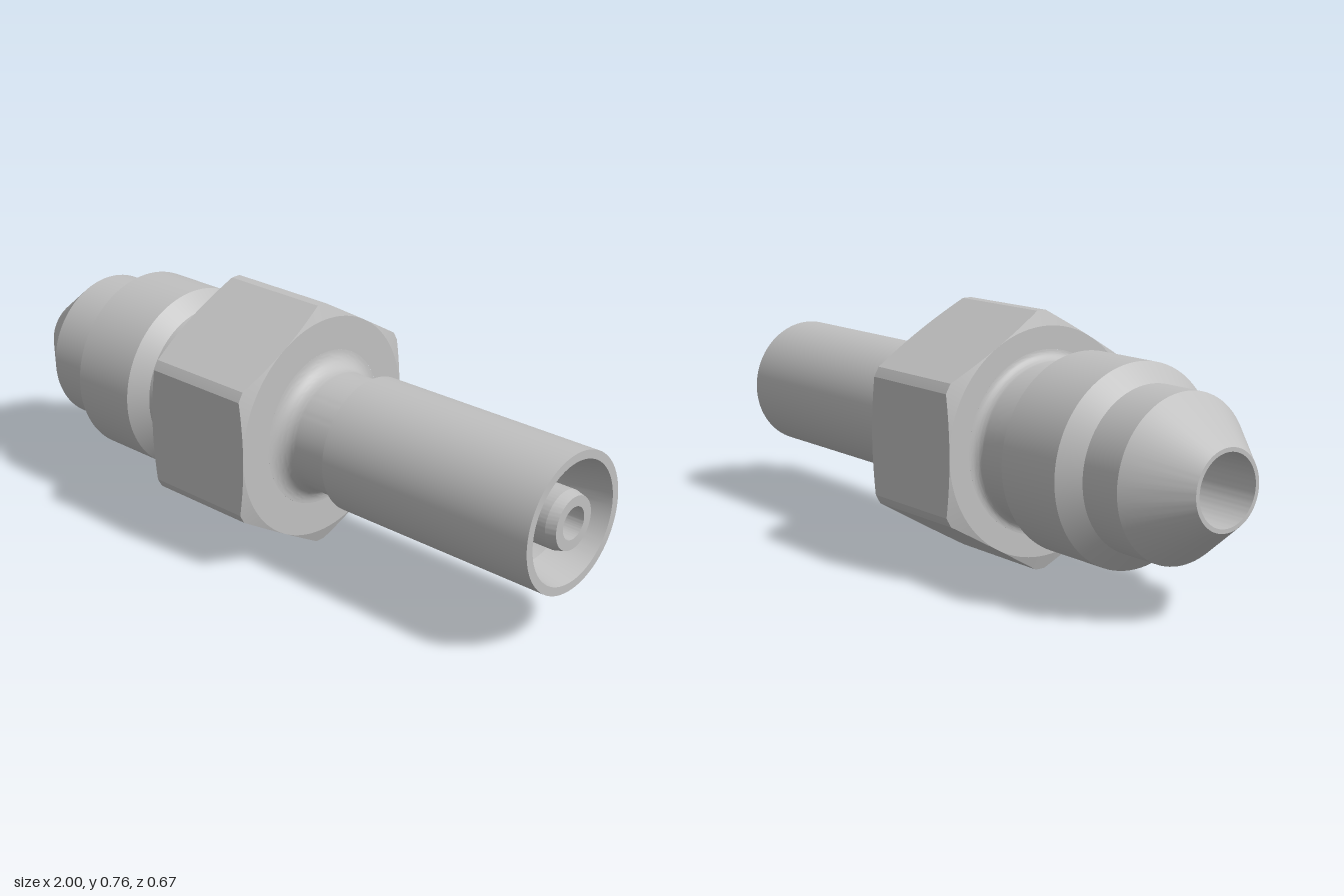
import * as THREE from 'three';
import { toCreasedNormals } from 'three/addons/utils/BufferGeometryUtils.js';

const AXIS_HEIGHT = 0.378;
const CREASE = 0.15;
const HEX = { left: -0.267, right: 0.112, apothem: 0.335, corner: 0.378, slope: 0.35 };

// Quarter-round points as [radius, axial] pairs between two angles
function fillet(cr, ca, rad, from, to, steps = 12) {
  return Array.from({ length: steps + 1 }, (_, i) => {
    const t = from + (to - from) * i / steps;
    return [cr + rad * Math.cos(t), ca + rad * Math.sin(t)];
  });
}

// Turned solid; a closed profile of [radius, axial] pairs
function turned(profile) {
  const pts = profile.map(([r, a]) => new THREE.Vector2(r, a));
  return toCreasedNormals(new THREE.LatheGeometry(pts, 96), CREASE);
}

// Hexagon with corners trimmed to a cylinder and both ends chamfered by a cone
function hexNut(innerLeft, innerRight) {
  const { left, right, apothem, corner, slope } = HEX;
  const sixth = Math.PI / 3;
  const trim = sixth / 2 - Math.acos(apothem / corner);
  const angles = [];
  for (let s = 0; s < 6; s++) {
    for (let i = 0; i < 4; i++) angles.push(s * sixth - trim + 2 * trim * i / 4);
    for (let i = 0; i < 24; i++) angles.push(s * sixth + trim + (sixth - 2 * trim) * i / 24);
  }
  const n = angles.length, pos = [], index = [];
  angles.forEach((t) => {
    const local = ((t + 2 * Math.PI) % sixth) - sixth / 2;
    const r = Math.min(corner, apothem / Math.cos(local));
    const cut = slope * (r - apothem);
    const rings = [[innerLeft, left], [apothem, left], [r, left + cut],
      [r, right - cut], [apothem, right], [innerRight, right]];
    rings.forEach(([q, a]) => pos.push(q * Math.cos(t), a, q * Math.sin(t)));
  });
  for (let j = 0; j < n; j++) {
    const k = (j + 1) % n;
    for (let i = 0; i < 5; i++) {
      const a = j * 6 + i, b = k * 6 + i;
      index.push(a, a + 1, b, b, a + 1, b + 1);
    }
  }
  const g = new THREE.BufferGeometry();
  g.setAttribute('position', new THREE.Float32BufferAttribute(pos, 3));
  g.setIndex(index);
  return toCreasedNormals(g, CREASE);
}

export function createModel() {
  const model = new THREE.Group();
  model.name = 'hexFitting';
  const steel = new THREE.MeshStandardMaterial({ color: 0xc0c0c0 });
  steel.name = 'steel';

  // Parts are turned around local y, then laid along x
  const add = (name, geometry) => {
    const mesh = new THREE.Mesh(geometry, steel);
    mesh.name = name;
    mesh.rotation.z = -Math.PI / 2;
    mesh.position.y = AXIS_HEIGHT;
    model.add(mesh);
  };

  const body = [
    // flared nose, collar and threaded section
    [0.1, -1], [0.112, -1], [0.233, -0.84], [0.233, -0.707],
    [0.286, -0.657], [0.286, -0.436], [0.238, -0.39],
    // neck blending into the hexagon
    ...fillet(0.268, HEX.left - 0.03, 0.03, Math.PI, Math.PI / 2),
    // blend out of the hexagon into the slim neck
    ...fillet(0.235, HEX.right + 0.055, 0.055, -Math.PI / 2, -Math.PI),
    // sleeve with a tapered socket
    [0.18, 0.29], [0.202, 0.29], [0.202, 1], [0.177, 1], [0.151, 0.88], [0.151, 0.4],
    // inner nipple and through bore
    [0.085, 0.4], [0.085, 0.97], [0.077, 1], [0.047, 1],
    [0.047, 0.1], [0.1, 0.05], [0.1, -1],
  ];
  add('turnedBody', turned(body));
  add('hexNut', hexNut(0.268, 0.235));
  return model;
}
